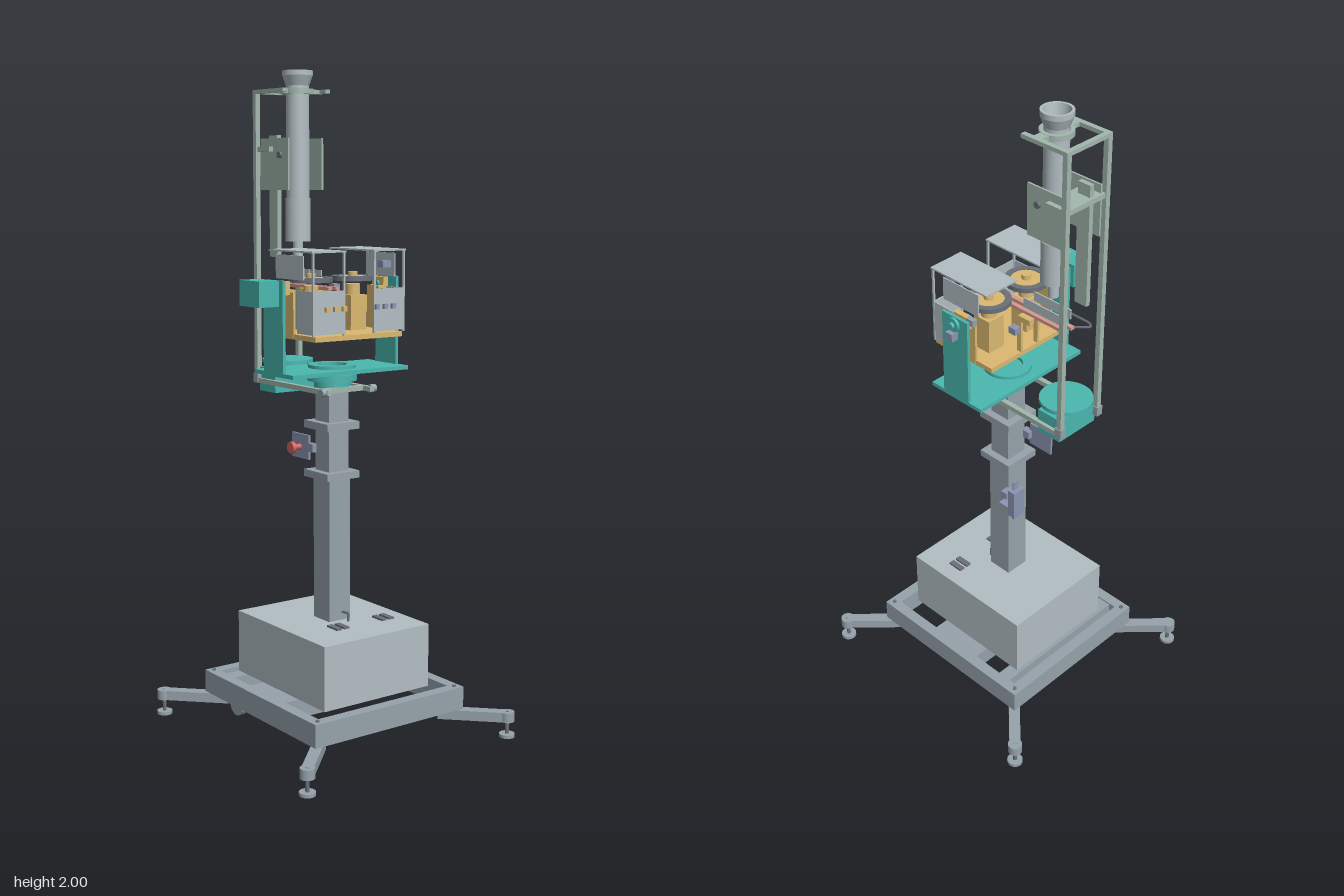
import * as THREE from 'three';

const mat = (c) => new THREE.MeshStandardMaterial({ color: c, side: THREE.DoubleSide });
const STEEL = mat(0x97a3ab), CASE = mat(0xb3bfc4), TEAL = mat(0x4ab8b0), GOLD = mat(0xdcb970);
const SAGE = mat(0xa3b8ae), PINK = mat(0xd49a90), DARK = mat(0x6b7078), BLUE = mat(0x8d97b3), RED = mat(0xd0625c);

export function createModel() {
  const root = new THREE.Group();

  const add = (name, geo, m, x = 0, y = 0, z = 0) => {
    const mesh = new THREE.Mesh(geo, m);
    mesh.name = name;
    mesh.position.set(x, y, z);
    root.add(mesh);
    return mesh;
  };
  // box given by its limits
  const box = (name, m, x0, x1, y0, y1, z0, z1) =>
    add(name, new THREE.BoxGeometry(x1 - x0, y1 - y0, z1 - z0), m, (x0 + x1) / 2, (y0 + y1) / 2, (z0 + z1) / 2);
  // cylinder centred on a point, along the given axis
  const cyl = (name, m, r, h, x, y, z, axis = 'y') => {
    const g = new THREE.CylinderGeometry(r, r, h, 32);
    if (axis === 'x') g.rotateZ(Math.PI / 2);
    if (axis === 'z') g.rotateX(Math.PI / 2);
    return add(name, g, m, x, y, z);
  };
  // flat plate from a 2D shape in x and z, rising from y
  const plate = (name, m, shape, y, h) => {
    const g = new THREE.ExtrudeGeometry(shape, { depth: h, bevelEnabled: false, curveSegments: 24 });
    return add(name, g.rotateX(-Math.PI / 2), m, 0, y, 0);
  };
  const wire = (name, m, r, pts) => {
    const path = new THREE.CurvePath();
    const v = pts.map((p) => new THREE.Vector3(...p));
    for (let i = 1; i < v.length; i++) path.add(new THREE.LineCurve3(v[i - 1], v[i]));
    return add(name, new THREE.TubeGeometry(path, (v.length - 1) * 6, r, 8), m);
  };
  const ring = (r, inner, x) => {
    const s = new THREE.Shape().absarc(x, 0, r, 0, Math.PI * 2);
    s.holes.push(new THREE.Path().absarc(x, 0, inner, 0, Math.PI * 2, true));
    return s;
  };
  const SIDES = [1, -1];

  // base frame
  const rect = (P, x, z) => new P().moveTo(-x, -z).lineTo(x, -z).lineTo(x, z).lineTo(-x, z).closePath();
  const frame = rect(THREE.Shape, 0.3, 0.276);
  frame.holes.push(rect(THREE.Path, 0.264, 0.241));
  plate('baseFrame', STEEL, frame, 0.08, 0.07);
  box('columnSupport', STEEL, -0.094, 0.094, 0.09, 0.148, -0.245, 0.245);
  box('casterRail', STEEL, -0.24, -0.195, 0.08, 0.145, -0.245, 0.245);

  // outrigger legs with levelling feet
  for (const sx of SIDES) for (const sz of SIDES) {
    const a = new THREE.Vector2(sx * 0.245, sz * 0.222), b = new THREE.Vector2(sx * 0.394, sz * 0.371);
    const leg = add('leg', new THREE.BoxGeometry(a.distanceTo(b), 0.03, 0.035), STEEL, (a.x + b.x) / 2, 0.064, (a.y + b.y) / 2);
    leg.rotation.y = -Math.atan2(b.y - a.y, b.x - a.x);
    cyl('legEnd', STEEL, 0.022, 0.03, b.x, 0.064, b.y);
    cyl('footScrew', DARK, 0.006, 0.07, b.x, 0.044, b.y);
    cyl('footPad', STEEL, 0.024, 0.01, b.x, 0.005, b.y);
    cyl('frameBolt', DARK, 0.006, 0.004, sx * 0.28, 0.152, sz * 0.255);
  }
  // casters
  for (const s of SIDES) {
    cyl('caster', STEEL, 0.035, 0.02, -0.218, 0.046, s * 0.204, 'z');
    for (const x of [-0.247, -0.19]) box('casterBracket', DARK, x - 0.009, x + 0.009, 0.062, 0.1, s * 0.204 - 0.013, s * 0.204 + 0.013);
  }

  // cabinet and column
  box('cabinet', CASE, -0.23, 0.23, 0.15, 0.345, -0.194, 0.194);
  for (const z of [0.05, -0.12]) for (const d of [-0.014, 0.014])
    box('socket', DARK, 0.075, 0.125, 0.345, 0.351, z + d - 0.009, z + d + 0.009);
  wire('cabinetCable', DARK, 0.004, [[0.035, 0.37, -0.01], [0.062, 0.37, -0.015], [0.062, 0.34, -0.015]]);
  box('lowerColumn', STEEL, -0.042, 0.039, 0.15, 0.8, -0.039, 0.039);
  box('upperColumn', STEEL, -0.037, 0.034, 0.8, 1.07, -0.036, 0.036);
  box('lowerCollar', STEEL, -0.062, 0.058, 0.785, 0.807, -0.06, 0.06);
  box('upperCollar', STEEL, -0.062, 0.058, 0.935, 0.958, -0.06, 0.06);

  // stop button and hanging control pendant
  box('buttonPlate', BLUE, -0.138, -0.05, 0.835, 0.91, 0.045, 0.052);
  box('buttonArm', BLUE, -0.06, -0.03, 0.86, 0.885, 0.03, 0.052);
  cyl('buttonStem', RED, 0.009, 0.03, -0.095, 0.87, 0.064, 'z');
  cyl('stopButton', RED, 0.018, 0.012, -0.095, 0.87, 0.083, 'z');
  box('pendant', BLUE, -0.132, -0.105, 0.67, 0.765, -0.107, -0.063);
  box('pendantClip', BLUE, -0.118, -0.112, 0.65, 0.795, -0.095, -0.075);
  box('pendantShelf', BLUE, -0.125, -0.05, 0.672, 0.678, -0.09, -0.062);
  box('pendantBracket', BLUE, -0.06, -0.035, 0.67, 0.7, -0.066, -0.03);

  // turntable, platform and yoke
  cyl('turntable', TEAL, 0.075, 0.02, 0, 1.092, 0);
  cyl('turntableHub', TEAL, 0.055, 0.025, 0, 1.072, 0);
  box('platform', TEAL, -0.1, 0.1, 1.108, 1.12, -0.212, 0.212);
  plate('turntableRing', TEAL, ring(0.072, 0.045, 0), 1.12, 0.01);
  cyl('swivelPulley', TEAL, 0.079, 0.012, -0.235, 1.119, 0);
  box('swivelMotor', TEAL, -0.28, -0.195, 1.025, 1.1, -0.075, 0.075);
  cyl('swivelShaft', STEEL, 0.012, 0.02, -0.235, 1.107, 0);
  for (const s of SIDES) {
    const z = s * 0.207;
    box('yokeArm', TEAL, -0.05, 0.05, 1.12, 1.388, z - 0.005, z + 0.005);
    cyl('tiltAxle', TEAL, 0.01, 0.065, 0, 1.365, s * 0.197, 'z');
    cyl('tiltFlange', TEAL, 0.022, 0.008, 0, 1.365, s * 0.217, 'z');
    box('tiltBearing', GOLD, -0.028, 0.028, 1.345, 1.385, s * 0.18 - 0.009, s * 0.18 + 0.009);
    box('trayHanger', GOLD, -0.028, 0.028, 1.22, 1.36, s * 0.156 - 0.004, s * 0.156 + 0.004);
    box('hangerLip', GOLD, -0.028, 0.028, 1.352, 1.36, s * 0.171 - 0.018, s * 0.171 + 0.018);
  }
  box('tiltMotor', TEAL, -0.052, 0.05, 1.315, 1.39, 0.224, 0.293);
  box('tiltSensor', BLUE, -0.013, 0.013, 1.32, 1.345, -0.236, -0.212);
  box('limitSwitch', STEEL, -0.055, -0.028, 1.37, 1.39, -0.195, -0.178);

  // tray with twin drive wheels
  box('tray', GOLD, -0.09, 0.137, 1.215, 1.23, -0.158, 0.158);
  for (const s of SIDES) {
    const z = s * 0.077;
    box('driveMotor', GOLD, -0.03, 0.03, 1.23, 1.335, z - 0.03, z + 0.03);
    cyl('motorCap', GOLD, 0.022, 0.035, 0, 1.35, z);
    const tyre = plate('wheelTyre', DARK, ring(0.065, 0.046, 0), 1.378, 0.014);
    tyre.position.z = z;
    cyl('wheelDisc', GOLD, 0.046, 0.01, 0, 1.385, z);
    cyl('wheelHub', GOLD, 0.014, 0.024, 0, 1.392, z);
    box('railPost', GOLD, -0.09, -0.075, 1.23, 1.345, s * 0.034 - 0.004, s * 0.034 + 0.004);
    box('railClamp', GOLD, -0.125, -0.08, 1.335, 1.352, s * 0.031 - 0.01, s * 0.031 + 0.01);
    box('guideRail', PINK, -0.24, 0.01, 1.35, 1.36, s * 0.013 - 0.007, s * 0.013 + 0.007);
    box('guideCover', CASE, -0.225, -0.085, 1.375, 1.405, s * 0.022 - 0.002, s * 0.022 + 0.002);

    // wheel covers
    box('topCover', CASE, -0.085, 0.138, 1.469, 1.474, s * 0.11 - 0.06, s * 0.11 + 0.06);
    box('coverSkirt', CASE, -0.05, 0.09, 1.39, 1.46, s * 0.166 - 0.002, s * 0.166 + 0.002);
    box('sideGuard', CASE, 0.055, 0.137, 1.235, 1.36, s * 0.164 - 0.002, s * 0.164 + 0.002);
    box('endGuard', CASE, 0.133, 0.137, 1.235, 1.36, s * 0.11 - 0.055, s * 0.11 + 0.055);
    for (const d of [0.055, 0.164]) box('coverPost', CASE, 0.131, 0.137, 1.23, 1.47, s * d - 0.003, s * d + 0.003);
    for (const d of [0.06, 0.09, 0.12]) box('guardKnob', s > 0 ? GOLD : BLUE, 0.137, 0.147, 1.3, 1.315, s * d - 0.007, s * d + 0.007);
  }
  box('railCrossbar', GOLD, -0.09, -0.075, 1.33, 1.345, -0.038, 0.038);
  box('proximitySensor', BLUE, 0.097, 0.124, 1.42, 1.44, -0.125, -0.095);
  box('cableSensor', BLUE, -0.136, -0.11, 1.34, 1.36, -0.11, -0.088);
  wire('feedCable', DARK, 0.004, [[-0.225, 1.345, 0.03], [-0.227, 1.31, 0.105], [-0.212, 1.31, 0.12], [-0.095, 1.31, 0.12]]);

  // mast carrying the tube
  for (const s of SIDES) {
    const z = s * 0.078;
    box('mastBeam', SAGE, -0.293, 0.095, 1.05, 1.065, z - 0.008, z + 0.008);
    box('mastPost', SAGE, -0.293, -0.277, 1.05, 1.945, z - 0.008, z + 0.008);
    box('mastTop', SAGE, -0.293, -0.13, 1.933, 1.945, z - 0.008, z + 0.008);
    box('postFoot', STEEL, -0.297, -0.272, 1.05, 1.08, z - 0.011, z + 0.011);
    box('tubeBracket', SAGE, -0.283, -0.135, 1.645, 1.8, s * 0.062 - 0.003, s * 0.062 + 0.003);
    cyl('bracketBolt', DARK, 0.01, 0.012, -0.175, 1.75, s * 0.067, 'z');
    cyl('beamBolt', STEEL, 0.012, 0.02, 0.08, 1.058, s * 0.09, 'z');
  }
  box('beamCrossbar', SAGE, 0.04, 0.06, 1.05, 1.065, -0.075, 0.075);
  box('bracketCrossbar', SAGE, -0.29, -0.215, 1.76, 1.775, -0.08, 0.08);
  box('topCrossbar', SAGE, -0.293, -0.277, 1.933, 1.945, -0.08, 0.08);
  box('slideRail', SAGE, -0.28, -0.237, 1.44, 1.81, 0.02, 0.035);
  plate('topClamp', SAGE, ring(0.048, 0.036, -0.177), 1.93, 0.016);
  for (const s of SIDES) box('clampTab', SAGE, -0.192, -0.162, 1.932, 1.945, s * 0.06 - 0.02, s * 0.06 + 0.02);

  // hollow tube with flared mouth and nozzle
  const profile = [[0.012, 1.44], [0.015, 1.44], [0.015, 1.49], [0.038, 1.49], [0.038, 1.62], [0.035, 1.62], [0.035, 1.955],
    [0.046, 1.985], [0.046, 2], [0.038, 2], [0.031, 1.955], [0.031, 1.5], [0.012, 1.5], [0.012, 1.44]];
  // each segment is turned separately so the edges stay sharp
  for (let i = 1; i < profile.length; i++) {
    const pts = [profile[i - 1], profile[i]].map((p) => new THREE.Vector2(...p));
    add('feedTube', new THREE.LatheGeometry(pts, 40), CASE, -0.177, 0, 0);
  }
  return root;
}
